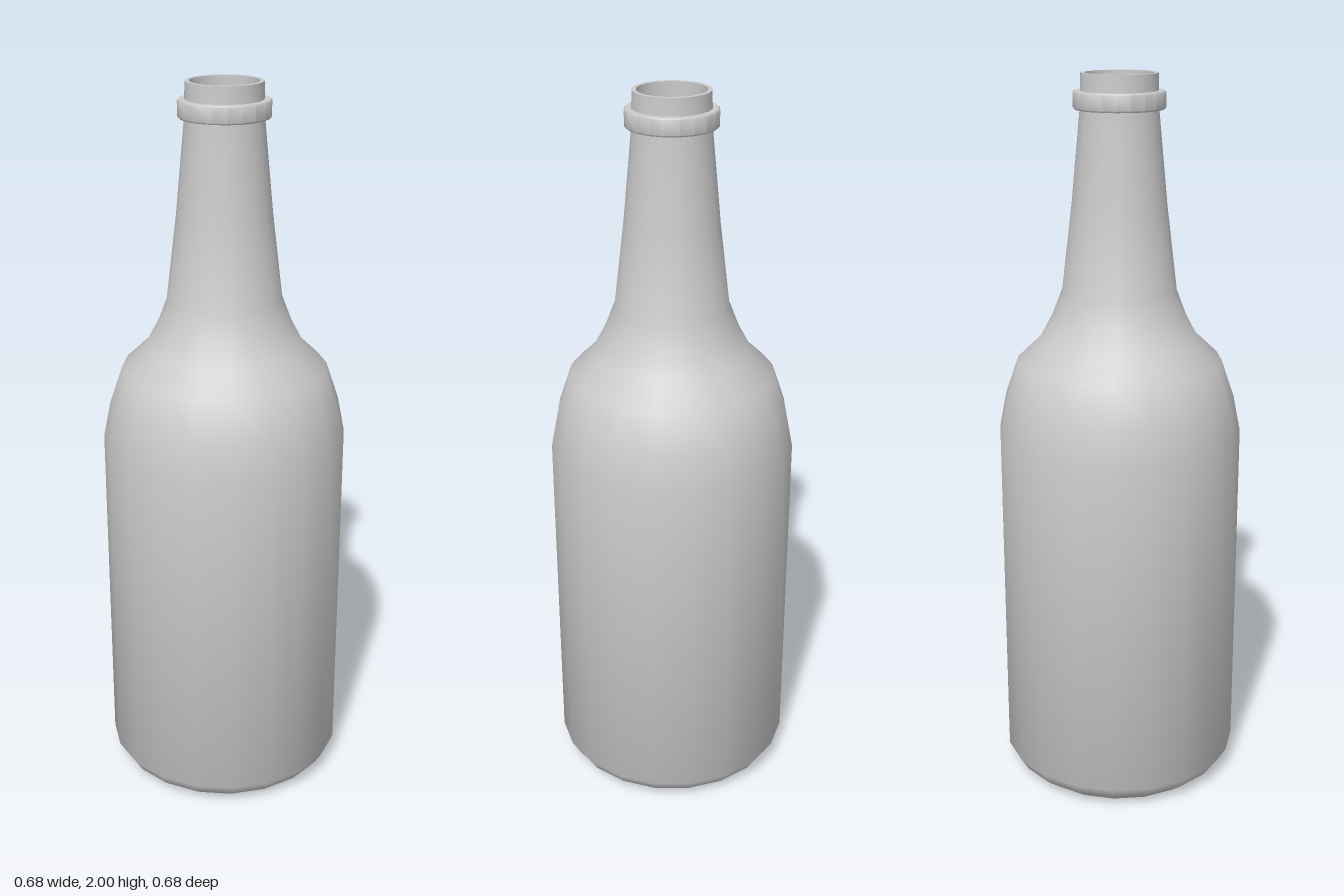
import * as THREE from 'three';
import { toCreasedNormals } from 'three/addons/utils/BufferGeometryUtils.js';

const SIDES = 20;
const material = new THREE.MeshStandardMaterial({ color: 0xcccccc });

// Revolve [radius, height] points around y, keeping hard edges sharp
function turned(name, profile) {
  const points = profile.map(([r, y]) => new THREE.Vector2(r, y));
  const geometry = toCreasedNormals(new THREE.LatheGeometry(points, SIDES), 0.65);
  const mesh = new THREE.Mesh(geometry, material);
  mesh.name = name;
  return mesh;
}

export function createModel() {
  const bottle = new THREE.Group();
  bottle.name = 'bottle';

  // Outside: base, body, shoulder, neck and lip, from the bottom up
  const outside = [
    [0, 0], [0.28, 0], [0.317, 0.03], [0.338, 0.065],
    [0.338, 1.03], [0.318, 1.13], [0.282, 1.235],
    [0.217, 1.297], [0.183, 1.36], [0.156, 1.43],
    [0.128, 1.66], [0.104, 1.91], [0.102, 2],
  ];
  bottle.add(turned('outerWall', outside));

  // Flat rim closing the glass thickness at the mouth
  bottle.add(turned('mouthRim', [[0.102, 2], [0.091, 2]]));

  // Inside of the glass, from the mouth down to the floor
  const inside = [
    [0.091, 2], [0.091, 1.91], [0.113, 1.66], [0.14, 1.43],
    [0.168, 1.355], [0.204, 1.285], [0.266, 1.223],
    [0.3, 1.125], [0.32, 1.03], [0.32, 0.07], [0.28, 0.025], [0, 0.025],
  ];
  bottle.add(turned('innerWall', inside));

  // Raised collar below the mouth
  bottle.add(turned('collar', [
    [0.1, 1.908], [0.119, 1.908], [0.122, 1.912],
    [0.122, 1.951], [0.119, 1.955], [0.1, 1.955],
  ]));

  return bottle;
}
